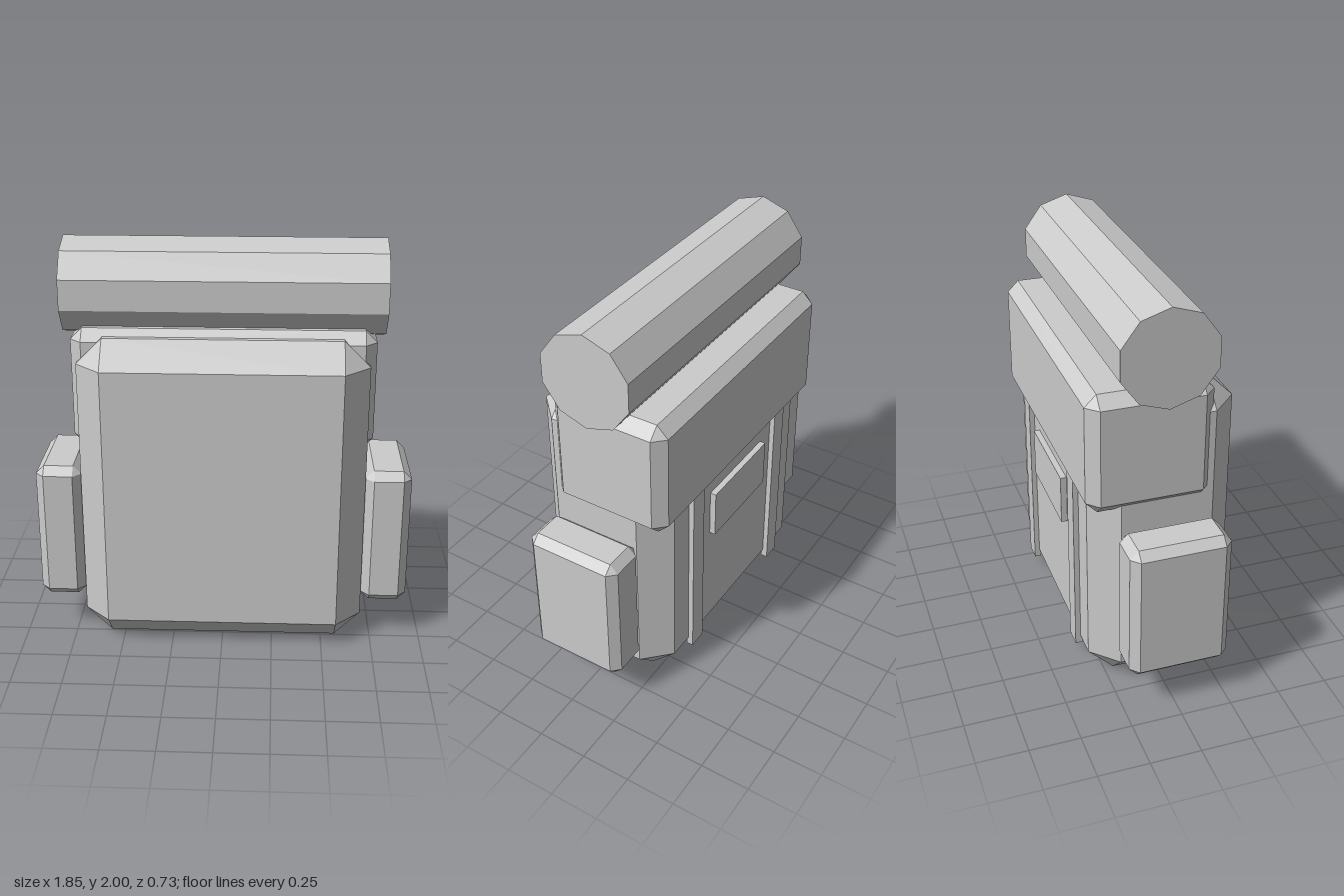
import * as THREE from 'three';
import { ConvexGeometry } from 'three/addons/geometries/ConvexGeometry.js';

// Box with every edge cut by a flat chamfer c, given by its min and max corners
function chamferBox(min, max, c) {
  const half = min.map((v, i) => (max[i] - v) / 2);
  const points = [];
  for (const sx of [-1, 1]) for (const sy of [-1, 1]) for (const sz of [-1, 1]) {
    for (let full = 0; full < 3; full++) {
      const [x, y, z] = half.map((h, i) => (i === full ? h : h - c));
      points.push(new THREE.Vector3(sx * x, sy * y, sz * z));
    }
  }
  const geometry = new ConvexGeometry(points);
  geometry.translate(...min.map((v, i) => (v + max[i]) / 2));
  return geometry;
}

// Plain box given by its min and max corners
function box(min, max) {
  const geometry = new THREE.BoxGeometry(...min.map((v, i) => max[i] - v));
  geometry.translate(...min.map((v, i) => (v + max[i]) / 2));
  return geometry;
}

export function createModel() {
  const group = new THREE.Group();
  const canvas = new THREE.MeshStandardMaterial({ color: 0xcccccc, flatShading: true });
  canvas.name = 'grey canvas';

  const add = (name, geometry) => {
    const mesh = new THREE.Mesh(geometry, canvas);
    mesh.name = name;
    group.add(mesh);
    return mesh;
  };

  // Main bag and the lid over its back
  add('body', chamferBox([-0.697, 0, -0.33], [0.697, 1.567, 0.368], 0.127));
  add('lid', chamferBox([-0.727, 1.005, -0.365], [0.727, 1.6, 0.235], 0.056));

  // Side pockets and flat straps, mirrored
  for (const [side, s] of [['left', 1], ['right', -1]]) {
    const pocketX = [0.697 * s, 0.923 * s].sort((a, b) => a - b);
    add(side + 'Pocket', chamferBox([pocketX[0], 0.2, -0.226], [pocketX[1], 0.905, 0.263], 0.041));
    const strapX = [0.345 * s, 0.44 * s].sort((a, b) => a - b);
    add(side + 'Strap', box([strapX[0], 0.085, -0.356], [strapX[1], 1.3, -0.322]));
  }

  // Raised patch on the back
  add('patch', box([-0.245, 0.692, -0.36], [0.245, 0.942, -0.32]));

  // Ten-sided bedroll lying across the top
  const roll = new THREE.CylinderGeometry(0.237, 0.237, 1.54, 10);
  roll.rotateZ(Math.PI / 2);
  add('bedroll', roll).position.set(0, 1.764, -0.01);
  // Turn one edge to the very top
  const top = roll.attributes.position;
  let maxY = -1;
  for (let i = 0; i < top.count; i++) maxY = Math.max(maxY, top.getY(i));
  if (maxY < 0.236) roll.rotateX(Math.PI / 10);

  return group;
}
